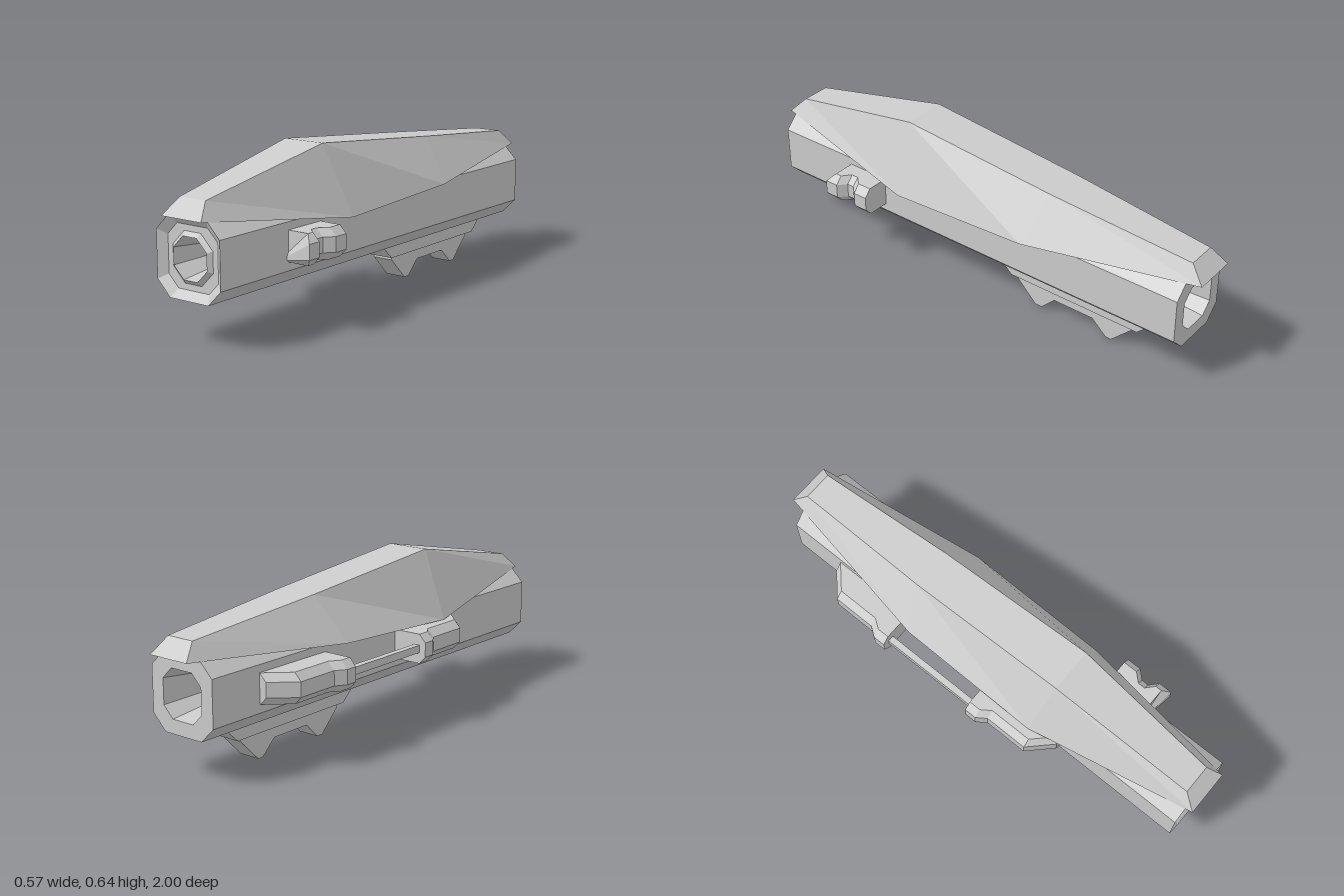
import * as THREE from 'three';

const material = new THREE.MeshStandardMaterial({ color: 0xcccccc, flatShading: true });
const CX = 0.014; // centreline of barrel and cover
const CY = 0.312;

// Solid skinned over rings of [x, y, z] points, end caps fanned, faces turned outward.
function loft(name, rings) {
  const tris = [];
  const n = rings[0].length;
  for (let i = 0; i < rings.length - 1; i++) {
    for (let j = 0; j < n; j++) {
      const k = (j + 1) % n;
      const [a, b, c, d] = [rings[i][j], rings[i][k], rings[i + 1][k], rings[i + 1][j]];
      tris.push([a, b, c], [a, c, d]);
    }
  }
  const last = rings[rings.length - 1];
  for (let j = 1; j < n - 1; j++) {
    tris.push([rings[0][0], rings[0][j + 1], rings[0][j]], [last[0], last[j], last[j + 1]]);
  }
  let volume = 0;
  const v = tris.map((t) => t.map((p) => new THREE.Vector3(...p)));
  for (const [a, b, c] of v) volume += a.dot(b.clone().cross(c));
  const points = v.flatMap(([a, b, c]) => (volume < 0 ? [a, c, b] : [a, b, c]));
  const geometry = new THREE.BufferGeometry().setFromPoints(points);
  geometry.computeVertexNormals();
  const mesh = new THREE.Mesh(geometry, material);
  mesh.name = name;
  return mesh;
}

// Octagon with half width r and half flat f.
const octagon = (r, f, z) =>
  [[r, -f], [r, f], [f, r], [-f, r], [-r, f], [-r, -f], [-f, -r], [f, -r]]
    .map(([x, y]) => [CX + x, CY + y, z]);

// Side profile [z, y] extruded across the width.
function keel(name, width, profile) {
  const shape = new THREE.Shape(profile.map(([z, y]) => new THREE.Vector2(-z, y)));
  const geometry = new THREE.ExtrudeGeometry(shape, { depth: width, bevelEnabled: false });
  geometry.translate(0, 0, -width / 2);
  geometry.rotateY(Math.PI / 2);
  const mesh = new THREE.Mesh(geometry, material);
  mesh.position.x = CX;
  mesh.name = name;
  return mesh;
}

// Side fitting with chamfered outer edges; stations are [z, outer x, z lead of the outer face].
function fitting(name, side, stations) {
  return loft(name, stations.map(([z, x, lead = 0]) => [
    [0.12, 0.254, z], [x - 0.029, 0.254, z], [x, 0.284, z + lead],
    [x, 0.342, z + lead], [x - 0.029, 0.372, z], [0.12, 0.372, z],
  ].map(([px, py, pz]) => [side * px, py, pz])));
}

export function createModel() {
  const group = new THREE.Group();

  // Octagonal barrel with hollow ends and a recessed muzzle ring
  group.add(loft('barrel', [
    octagon(0.001, 0.0005, -0.25),
    octagon(0.094, 0.05, -0.94),
    octagon(0.149, 0.09, -0.94),
    octagon(0.149, 0.09, 0.97),
    octagon(0.117, 0.072, 0.945),
    octagon(0.094, 0.039, 0.945),
    octagon(0.078, 0.032, 0.96),
    octagon(0.001, 0.0005, 0.4),
  ]));

  // Faceted top cover: [top z, top half width, top y, bottom z, bottom half width, bottom y]
  const cover = [
    [-0.94, 0.06, 0.522, -1, 0.09, 0.46],
    [-0.34, 0.085, 0.578, -0.29, 0.209, 0.402],
    [0.34, 0.09, 0.642, 0.31, 0.209, 0.373],
    [0.94, 0.06, 0.522, 1, 0.093, 0.46],
  ];
  group.add(loft('topCover', cover.map(([tz, tw, ty, bz, bw, by]) => [
    [CX - bw, by, bz], [CX + bw, by, bz], [CX + tw, ty, tz], [CX - tw, ty, tz],
  ])));

  // Underside rail and the two-toothed block below it
  group.add(keel('underRail', 0.118, [
    [-0.07, 0.17], [-0.14, 0.104], [-0.73, 0.104], [-0.8, 0.17],
  ]));
  group.add(keel('toothedBlock', 0.089, [
    [-0.16, 0.11], [-0.16, 0.09], [-0.25, 0], [-0.28, 0], [-0.34, 0.06],
    [-0.52, 0.06], [-0.585, 0], [-0.61, 0], [-0.7, 0.09], [-0.7, 0.11],
  ]));

  // Notched knob on the left
  group.add(fitting('sideKnob', 1, [
    [0.43, 0.283], [0.49, 0.283], [0.525, 0.25], [0.555, 0.25],
    [0.585, 0.283], [0.612, 0.283, 0.03],
  ]));

  // Pair of brackets joined by a rod on the right
  group.add(fitting('frontBracket', -1, [
    [0.07, 0.283], [0.12, 0.283], [0.16, 0.255], [0.34, 0.255], [0.43, 0.165],
  ]));
  group.add(fitting('rearBracket', -1, [
    [-0.35, 0.283], [-0.4, 0.283], [-0.44, 0.255], [-0.62, 0.255], [-0.705, 0.165],
  ]));
  const rod = new THREE.Mesh(new THREE.BoxGeometry(0.026, 0.03, 0.46), material);
  rod.position.set(-0.242, 0.313, -0.14);
  rod.name = 'connectingRod';
  group.add(rod);

  return group;
}
